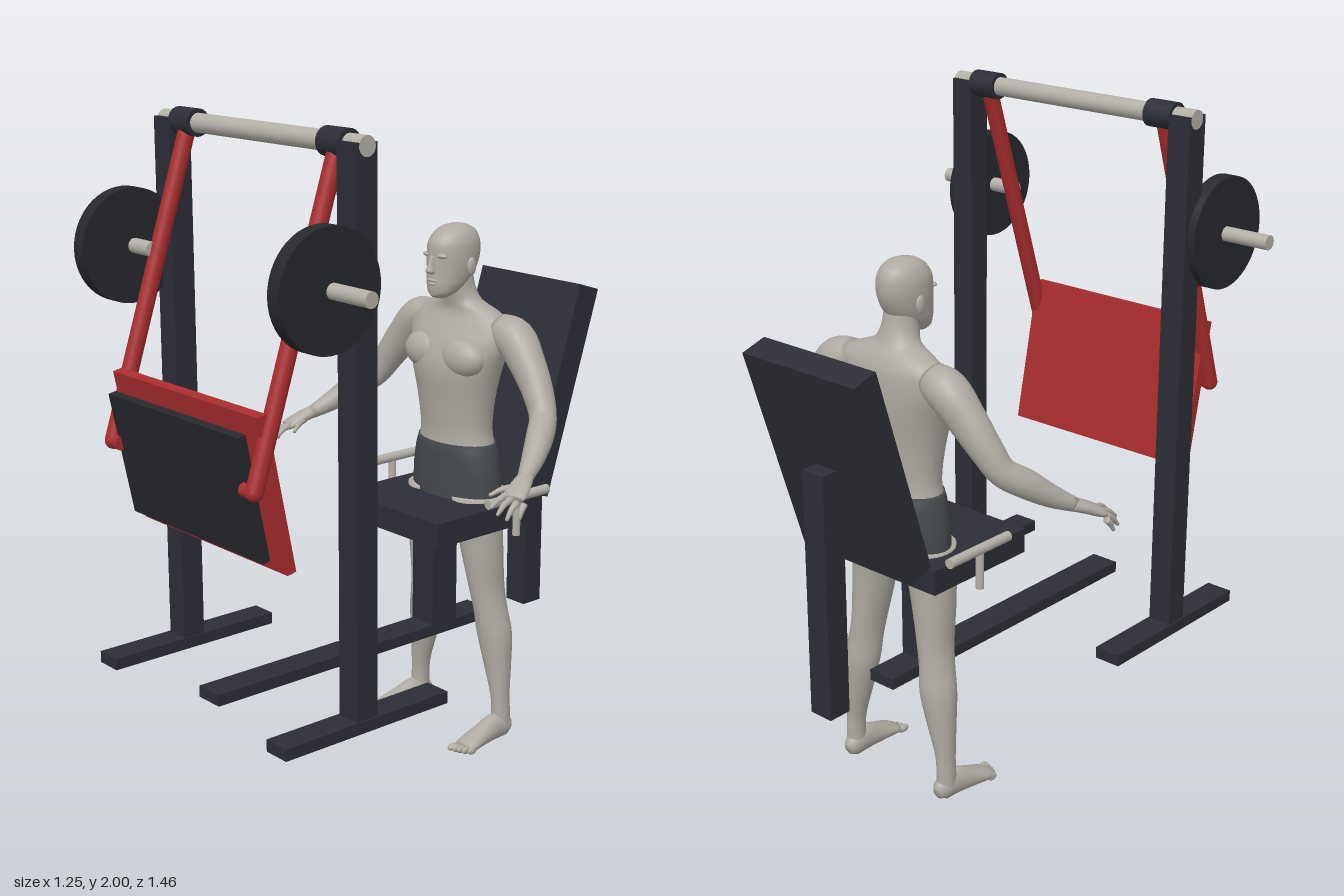
import * as THREE from 'three';

const mat = (name, color) => Object.assign(new THREE.MeshStandardMaterial({ color }), { name });

export function createModel() {
  const model = new THREE.Group();
  const frame = mat('dark frame', 0x2c2d36);
  const pad = mat('black pad', 0x26282c);
  const red = mat('red paint', 0xa82c2e);
  const steel = mat('pale steel', 0xb2afa6);
  const skin = mat('pale skin', 0xaeaaa2);
  const cloth = mat('shorts cloth', 0x45494c);

  const add = (parent, name, geometry, material) => {
    const mesh = new THREE.Mesh(geometry, material);
    mesh.name = name;
    parent.add(mesh);
    return mesh;
  };
  const box = (name, material, size, pos, tilt = 0) => {
    const mesh = add(model, name, new THREE.BoxGeometry(...size), material);
    mesh.position.set(...pos);
    mesh.rotation.x = tilt;
  };
  const rod = (name, material, from, to, radius, sides = 24) => {
    const a = new THREE.Vector3(...from), b = new THREE.Vector3(...to);
    const mesh = add(model, name, new THREE.CylinderGeometry(radius, radius, a.distanceTo(b), sides), material);
    mesh.position.copy(a).add(b).multiplyScalar(0.5);
    mesh.quaternion.setFromUnitVectors(new THREE.Vector3(0, 1, 0), b.sub(a).normalize());
  };
  const ball = (parent, name, material, pos, scale) => {
    const mesh = add(parent, name, new THREE.SphereGeometry(1, 20, 14), material);
    mesh.position.set(...pos);
    mesh.scale.set(...scale);
    return mesh;
  };

  // Smooth closed skin through elliptical stations [x, y, z, radius1, radius2]
  const loft = (stations, ref, level = false, steps = 4, sides = 28) => {
    const path = new THREE.CatmullRomCurve3(stations.map(s => new THREE.Vector3(s[0], s[1], s[2])));
    const radii = new THREE.CatmullRomCurve3(stations.map((s, i) => new THREE.Vector3(s[3], s[4], i * 0.05)));
    const rings = (stations.length - 1) * steps;
    const pos = [], index = [];
    for (let i = 0; i <= rings; i++) {
      const p = path.getPoint(i / rings), r = radii.getPoint(i / rings);
      const t = path.getTangent(i / rings);
      if (level) t.set(0, Math.sign(t.y), 0);
      const u = t.clone().cross(ref).normalize(), v = u.clone().cross(t);
      for (let j = 0; j < sides; j++) {
        const a = j / sides * Math.PI * 2;
        const q = p.clone().addScaledVector(u, r.x * Math.cos(a)).addScaledVector(v, r.y * Math.sin(a));
        pos.push(q.x, q.y, q.z);
        if (i === rings) continue;
        const k = i * sides + j, n = i * sides + (j + 1) % sides;
        index.push(k, k + sides, n, k + sides, n + sides, n);
      }
    }
    const last = rings * sides, c = last + sides;
    pos.push(...stations[0].slice(0, 3), ...stations.at(-1).slice(0, 3));
    for (let j = 0; j < sides; j++) {
      const n = (j + 1) % sides;
      index.push(c, j, n, c + 1, last + n, last + j);
    }
    const g = new THREE.BufferGeometry();
    g.setAttribute('position', new THREE.Float32BufferAttribute(pos, 3));
    g.setIndex(index);
    g.computeVertexNormals();
    return g;
  };
  const Y = new THREE.Vector3(0, 1, 0), Z = new THREE.Vector3(0, 0, 1);

  // Seat, backrest and central base
  box('baseRail', frame, [0.094, 0.035, 1.07], [0, 0.362, 0.095]);
  box('seatPost', frame, [0.094, 0.36, 0.1], [0, 0.55, -0.25]);
  box('seat', frame, [0.445, 0.076, 0.39], [0, 0.751, -0.248]);
  box('backrest', frame, [0.43, 0.665, 0.085], [0, 1.106, -0.589], -0.307);
  box('backrestPost', frame, [0.08, 0.757, 0.075], [0, 0.724, -0.65]);

  // Crossbar and swinging press plate
  rod('crossbar', steel, [-0.45, 1.96, 0.412], [0.45, 1.96, 0.412], 0.028);
  box('pressPlate', red, [0.68, 0.465, 0.03], [0, 1.047, 0.633], 0.2);
  box('pressPad', pad, [0.614, 0.372, 0.025], [0, 1.038, 0.684], 0.2);

  for (const s of [-1, 1]) {
    // Side frames
    box('upright', frame, [0.075, 1.6, 0.074], [s * 0.412, 1.17, 0.415]);
    box('uprightFoot', frame, [0.085, 0.036, 0.59], [s * 0.412, 0.362, 0.41]);
    // Swing arms
    rod('collar', frame, [s * 0.287, 1.96, 0.412], [s * 0.38, 1.96, 0.412], 0.04);
    rod('swingArm', red, [s * 0.333, 1.95, 0.415], [s * 0.335, 1.07, 0.705], 0.025);
    ball(model, 'swingArmEnd', red, [s * 0.335, 1.07, 0.705], [0.025, 0.025, 0.025]);
    rod('armPeg', red, [s * 0.335, 1.07, 0.705], [s * 0.292, 1.07, 0.705], 0.021);
    // Weights
    rod('weightPeg', steel, [s * 0.335, 1.607, 0.548], [s * 0.625, 1.607, 0.548], 0.022);
    rod('weightDisc', pad, [s * 0.427, 1.607, 0.555], [s * 0.474, 1.607, 0.555], 0.168, 48);
    // Seat grips
    rod('grip', steel, [s * 0.285, 0.835, -0.2], [s * 0.285, 0.835, -0.45], 0.015);
    rod('gripStem', steel, [s * 0.285, 0.714, -0.322], [s * 0.285, 0.835, -0.322], 0.012);
  }

  // Standing figure
  const figure = new THREE.Group();
  figure.name = 'figure';
  model.add(figure);
  const level = rows => loft(rows.map(([y, z, a, b]) => [0, y, z, a, b]), Z, true);
  add(figure, 'torso', level([
    [0.93, -0.34, 0.148, 0.093], [1.0, -0.337, 0.134, 0.087], [1.1, -0.334, 0.145, 0.094],
    [1.2, -0.335, 0.17, 0.105], [1.28, -0.348, 0.2, 0.094], [1.335, -0.36, 0.205, 0.076],
    [1.37, -0.36, 0.15, 0.062], [1.4, -0.348, 0.075, 0.055], [1.44, -0.335, 0.055, 0.053],
    [1.5, -0.325, 0.05, 0.05]]), skin);
  add(figure, 'head', level([
    [1.415, -0.262, 0.022, 0.026], [1.43, -0.272, 0.042, 0.046], [1.46, -0.292, 0.057, 0.069],
    [1.5, -0.308, 0.065, 0.083], [1.54, -0.315, 0.069, 0.09], [1.58, -0.317, 0.067, 0.088],
    [1.61, -0.321, 0.054, 0.071], [1.627, -0.322, 0.034, 0.044], [1.635, -0.322, 0.008, 0.01]]), skin);
  add(figure, 'nose', level([
    [1.49, -0.225, 0.012, 0.01], [1.498, -0.222, 0.014, 0.017], [1.515, -0.224, 0.009, 0.013],
    [1.545, -0.23, 0.006, 0.008]]), skin);
  ball(figure, 'upperLip', skin, [0, 1.47, -0.229], [0.022, 0.006, 0.01]);
  ball(figure, 'lowerLip', skin, [0, 1.459, -0.23], [0.018, 0.006, 0.01]);
  ball(figure, 'chin', skin, [0, 1.43, -0.24], [0.02, 0.014, 0.014]);
  add(figure, 'shorts', level([
    [0.735, -0.338, 0.172, 0.09], [0.8, -0.342, 0.172, 0.1], [0.87, -0.341, 0.168, 0.1],
    [0.93, -0.34, 0.155, 0.099], [0.962, -0.339, 0.144, 0.094]]), cloth);

  for (const s of [-1, 1]) {
    const limb = (name, rows, ref, flat, sides) =>
      add(figure, name, loft(rows.map(([x, ...r]) => [s * x, ...r]), ref, flat, 4, sides), skin);
    ball(figure, 'ear', skin, [s * 0.07, 1.51, -0.325], [0.009, 0.028, 0.017]);
    ball(figure, 'brow', skin, [s * 0.027, 1.545, -0.24], [0.024, 0.008, 0.012]);
    ball(figure, 'chest', skin, [s * 0.08, 1.235, -0.283], [0.085, 0.06, 0.05]);
    // Legs and feet
    limb('leg', [
      [0.095, 0.8, -0.335, 0.078, 0.088], [0.11, 0.71, -0.335, 0.066, 0.08], [0.124, 0.6, -0.34, 0.058, 0.07],
      [0.135, 0.5, -0.348, 0.049, 0.062], [0.146, 0.43, -0.355, 0.05, 0.057], [0.158, 0.35, -0.363, 0.056, 0.055],
      [0.172, 0.25, -0.365, 0.044, 0.044], [0.186, 0.15, -0.365, 0.029, 0.033], [0.19, 0.09, -0.366, 0.027, 0.032],
      [0.19, 0.03, -0.365, 0.028, 0.035]], Z, true);
    limb('foot', [
      [0.188, 0.028, -0.404, 0.014, 0.018], [0.188, 0.036, -0.385, 0.028, 0.035], [0.19, 0.045, -0.34, 0.031, 0.043],
      [0.194, 0.035, -0.28, 0.034, 0.034], [0.198, 0.024, -0.225, 0.039, 0.023], [0.199, 0.016, -0.195, 0.037, 0.015]], Y);
    for (let i = 0; i < 5; i++)
      ball(figure, 'toe', skin, [s * (0.17 + i * 0.015), 0.014, -0.18 - i * i * 0.0015],
        [i ? 0.008 : 0.012, 0.012, i ? 0.018 : 0.022]);
    // Arms reaching forward and out
    limb('arm', [
      [0.15, 1.325, -0.365, 0.05, 0.05], [0.21, 1.305, -0.372, 0.062, 0.062], [0.275, 1.238, -0.365, 0.053, 0.057],
      [0.335, 1.16, -0.352, 0.046, 0.048], [0.375, 1.1, -0.332, 0.041, 0.042], [0.415, 1.06, -0.28, 0.041, 0.042],
      [0.452, 1.013, -0.215, 0.034, 0.033], [0.485, 0.975, -0.15, 0.023, 0.021]], Y);
    limb('palm', [
      [0.482, 0.979, -0.16, 0.022, 0.02], [0.497, 0.965, -0.125, 0.03, 0.019], [0.512, 0.945, -0.085, 0.036, 0.016],
      [0.518, 0.936, -0.068, 0.033, 0.012]], Y);
    const fingers = [[0.548, 0.925, -0.085, 0.555, 0.887, -0.06], [0.534, 0.93, -0.07, 0.541, 0.888, -0.022],
      [0.515, 0.937, -0.065, 0.52, 0.902, -0.006], [0.496, 0.944, -0.068, 0.49, 0.915, -0.008],
      [0.483, 0.955, -0.115, 0.447, 0.935, -0.045]];
    for (const [x, y, z, a, b, c] of fingers)
      limb('finger', [[x, y, z, 0.011, 0.011], [(x + a) / 2, (y + b) / 2 + 0.006, (z + c) / 2, 0.009, 0.009],
        [a, b, c, 0.005, 0.005]], Y, false, 10);
  }
  return model;
}
